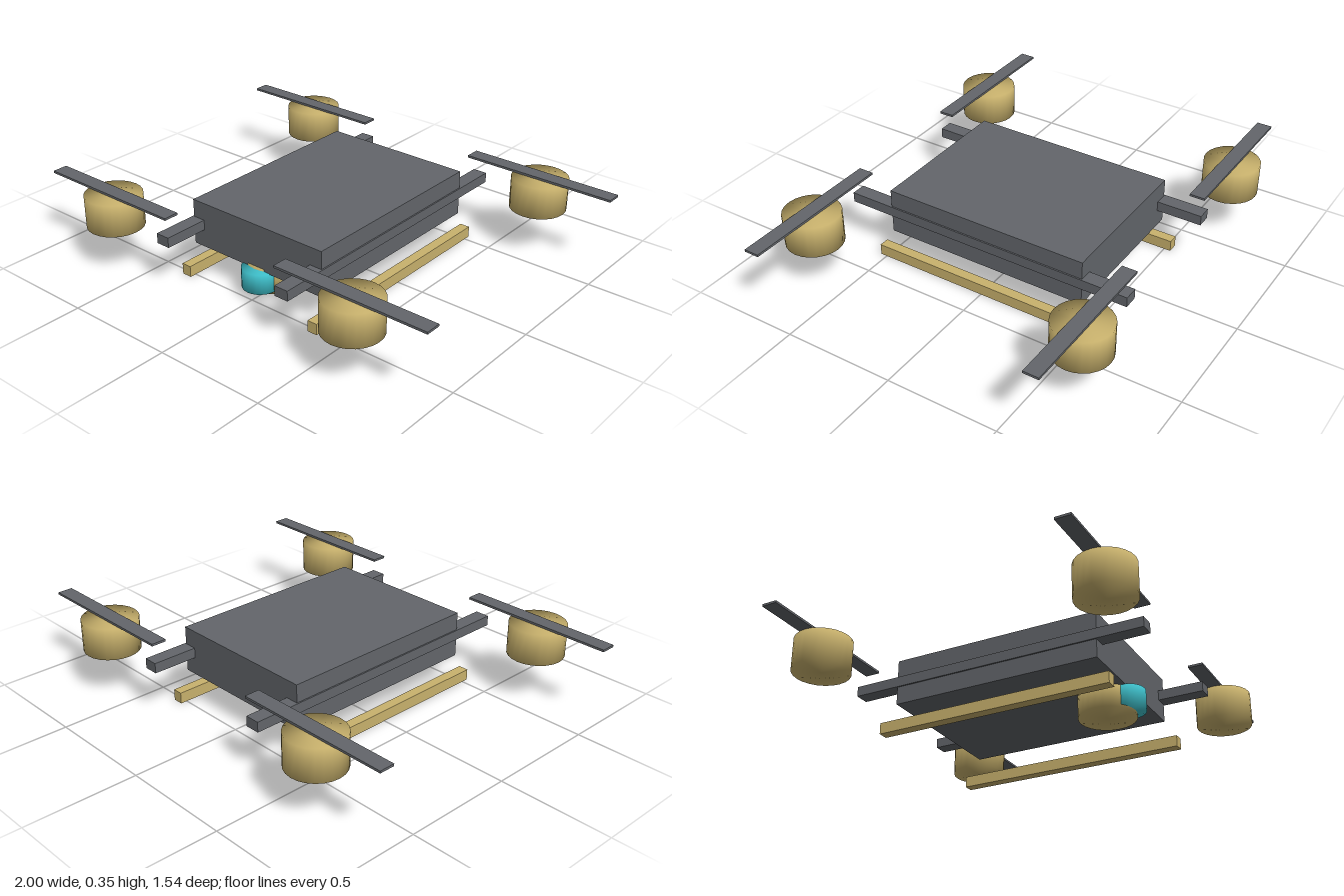
import * as THREE from 'three';
import { mergeVertices } from 'three/addons/utils/BufferGeometryUtils.js';

const material = (name, color) => {
  const m = new THREE.MeshStandardMaterial({ color });
  m.name = name;
  return m;
};

export function createModel() {
  const drone = new THREE.Group();
  drone.name = 'quadcopter';
  const grey = material('dark grey', 0x63666b);
  const gold = material('sand gold', 0xc9b26d);
  const teal = material('teal', 0x3fc1cc);

  const add = (name, geometry, mat, x, y, z) => {
    const mesh = new THREE.Mesh(geometry, mat);
    mesh.name = name;
    mesh.position.set(x, y, z);
    drone.add(mesh);
  };

  // Upright drum whose rim normals are shared, so shading rolls over the edge
  const drum = (radius, height) => {
    const g = new THREE.CylinderGeometry(radius, radius, height, 24);
    g.deleteAttribute('normal');
    g.deleteAttribute('uv');
    const merged = mergeVertices(g);
    merged.computeVertexNormals();
    return merged;
  };

  // Body
  add('body', new THREE.BoxGeometry(0.7, 0.205, 0.94), grey, 0, 0.2375, 0);

  // Camera housing and lens under the nose
  add('cameraHousing', drum(0.125, 0.112), gold, 0, 0.091, 0.354);
  add('cameraLens', drum(0.08, 0.091), teal, 0, 0.0925, 0.444);

  const arm = new THREE.BoxGeometry(0.065, 0.045, 1.35);
  const skid = new THREE.BoxGeometry(0.046, 0.05, 1.06);
  const motor = drum(0.125, 0.145);
  const blade = new THREE.BoxGeometry(0.706, 0.01, 0.068);

  for (const [side, sx] of [['left', 1], ['right', -1]]) {
    // Side rails and landing skids
    add(side + 'Arm', arm, grey, sx * 0.324, 0.238, 0);
    add(side + 'Skid', skid, gold, sx * 0.352, 0.025, 0);

    // Motors with their rotor blades
    for (const [end, sz] of [['Front', 1], ['Back', -1]]) {
      add(side + end + 'Motor', motor, gold, sx * 0.647, 0.2685, sz * 0.647);
      add(side + end + 'Blade', blade, grey, sx * 0.647, 0.346, sz * 0.647);
    }
  }
  return drone;
}
